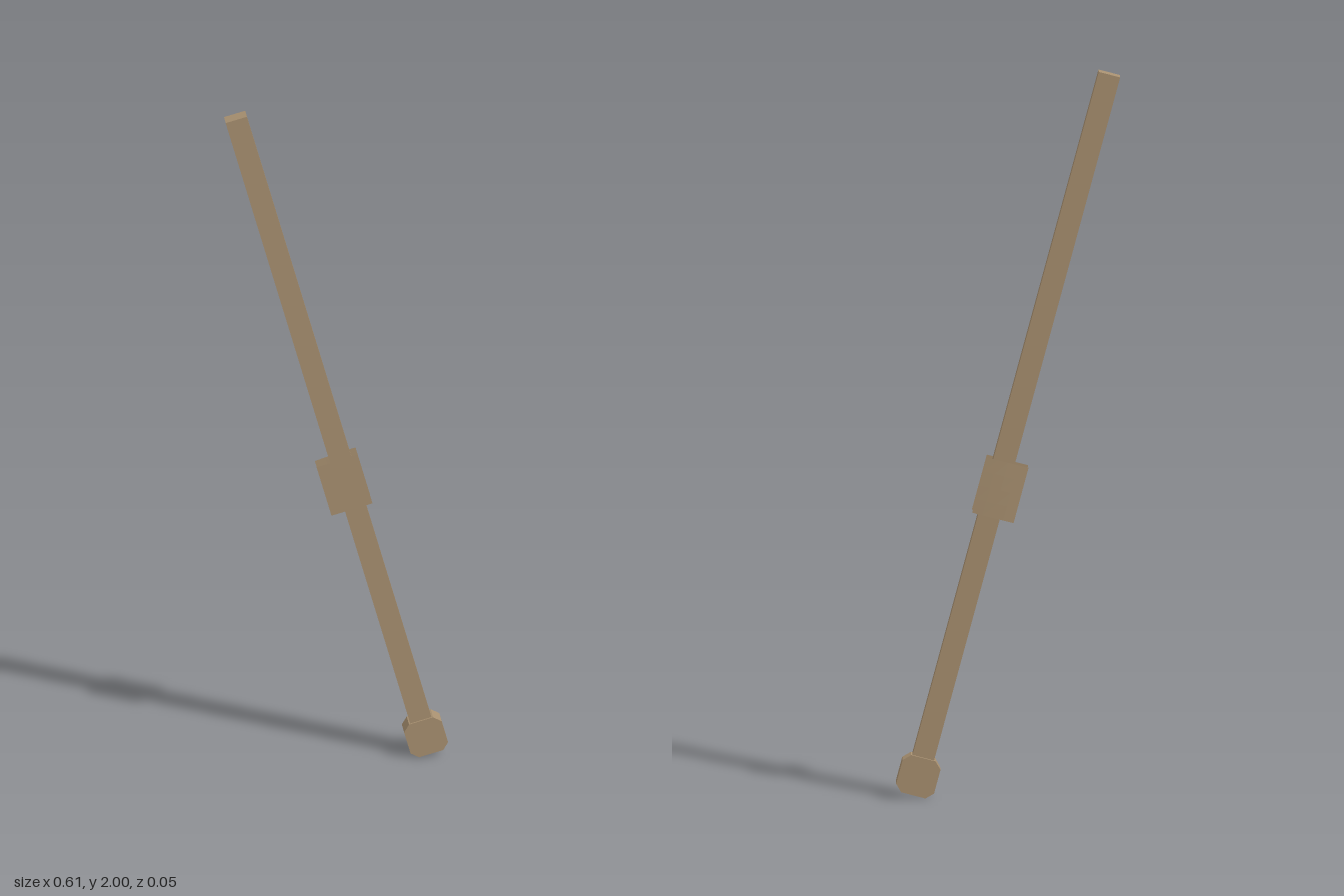
import * as THREE from 'three';

export function createModel() {
  const model = new THREE.Group();
  const wood = new THREE.MeshStandardMaterial({ color: 0xa89070, flatShading: true });
  wood.name = 'tanWood';
  const sheet = wood.clone();
  sheet.side = THREE.DoubleSide;
  sheet.name = 'tanSheet';

  // Everything lies along a staff leaning 15 degrees; the origin is the pommel centre
  const staff = new THREE.Group();
  staff.name = 'leaningStaff';
  staff.position.set(0.243, 0.06, 0);
  staff.rotation.z = THREE.MathUtils.degToRad(15);
  model.add(staff);

  const add = (name, geometry, material, x, y, z) => {
    const mesh = new THREE.Mesh(geometry, material);
    mesh.name = name;
    mesh.position.set(x, y, z);
    staff.add(mesh);
    return mesh;
  };

  // Long square shaft
  add('shaft', new THREE.BoxGeometry(0.06, 1.98, 0.035), wood, 0, 1.01, 0.0008);

  // Chamfered block at the foot
  const h = 0.053, c = 0.034;
  const outline = [[c, -h], [h, -c], [h, c], [c, h], [-c, h], [-h, c], [-h, -c], [-c, -h]];
  const block = new THREE.ExtrudeGeometry(
    new THREE.Shape(outline.map(([x, y]) => new THREE.Vector2(x, y))),
    { depth: 0.047, bevelEnabled: false });
  add('footBlock', block, wood, 0, 0, -0.0242);

  // Thin sheets across the front and back of the shaft
  const w = 0.116, l = 0.157;
  add('frontPlate', new THREE.PlaneGeometry(w, l), sheet, -0.0105, 0.819, 0.0192);

  // The back sheet stands slightly off the shaft, with a gentle twist
  const back = new THREE.PlaneGeometry(w, l, 4, 4);
  back.rotateY(Math.PI);
  const p = back.attributes.position;
  for (let i = 0; i < p.count; i++) {
    const t = 0.966 * p.getX(i) - 0.259 * p.getY(i);
    p.setZ(i, -0.05 * t + 0.35 * t * t);
  }
  back.computeVertexNormals();
  add('backPlate', back, sheet, -0.0105, 0.819, -0.0232);

  return model;
}
